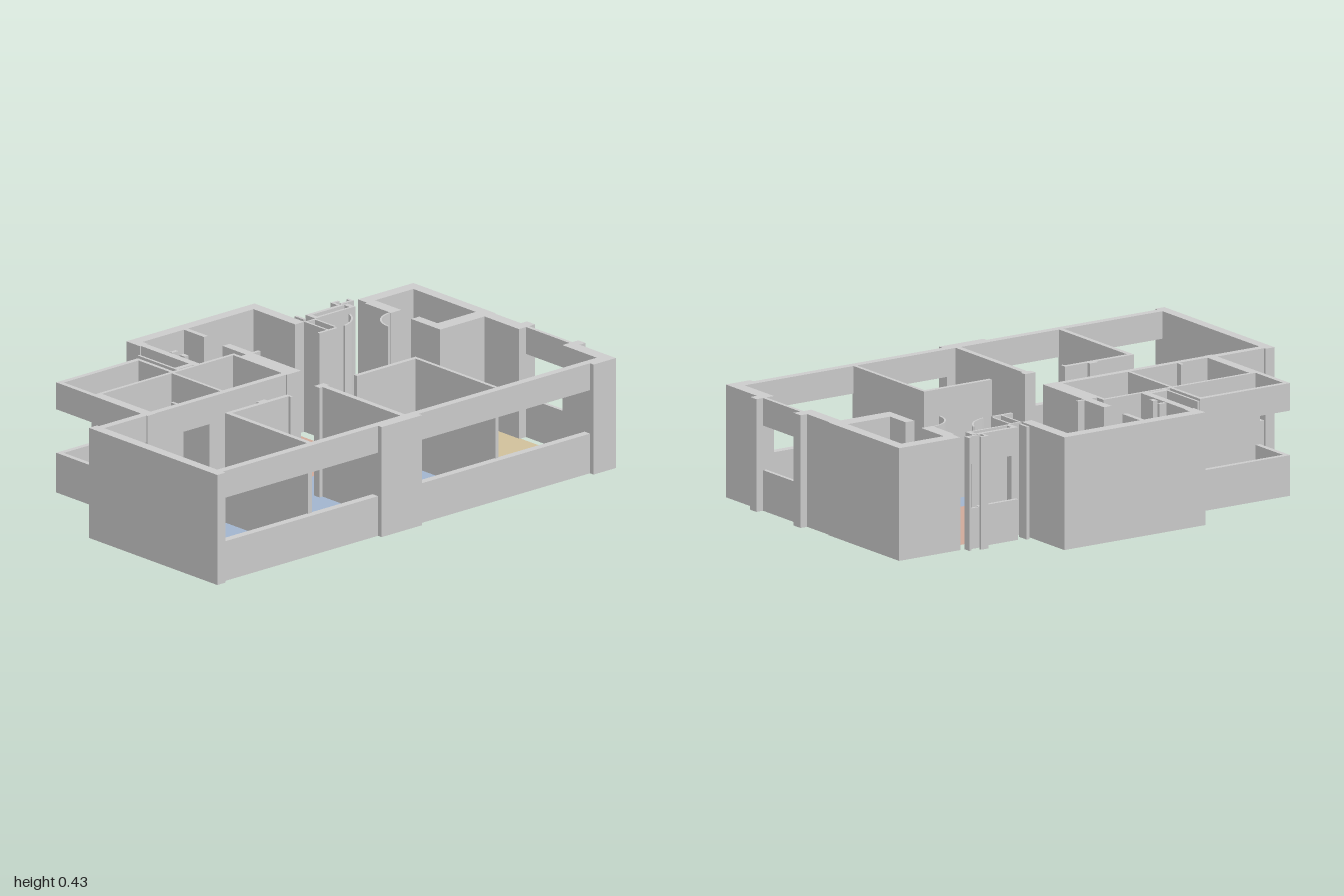
import * as THREE from 'three';

const H = 0.43, SILL = 0.155, HEAD = 0.325;
const grey = new THREE.MeshStandardMaterial({ color: 0xcccccc });

export function createModel() {
  const model = new THREE.Group();
  const group = (name) => {
    const g = new THREE.Group();
    g.name = name;
    model.add(g);
    return g;
  };

  // Box between two plan corners and two heights
  const block = (parent, name, [x0, x1, z0, z1], y0 = 0, y1 = H) => {
    const mesh = new THREE.Mesh(new THREE.BoxGeometry(x1 - x0, y1 - y0, z1 - z0), grey);
    mesh.position.set((x0 + x1) / 2, (y0 + y1) / 2, (z0 + z1) / 2);
    mesh.name = name;
    parent.add(mesh);
  };
  // Wall stretch with an open window: parapet below, lintel above
  const windowWall = (parent, plan) => {
    block(parent, 'windowParapet', plan, 0, SILL);
    block(parent, 'windowLintel', plan, HEAD, H);
  };

  // Outer walls, solid stretches
  const outer = group('outerWalls');
  [
    [-1, -0.96, -0.045, 0.665],      // left gable
    [-0.19, 0.01, 0.62, 0.67],       // front pier
    [0.86, 0.97, 0.62, 0.67],        // front right corner
    [0.92, 0.97, 0.43, 0.67],
    [0.92, 0.97, 0, 0.19],
    [0.95, 1, 0.145, 0.19],          // right pilasters
    [0.95, 1, 0.43, 0.47],
    [-0.75, -0.71, -0.31, 0],        // bathroom side
    [-0.25, 0.385, -0.675, -0.63],   // rear block
    [0.34, 0.385, -0.675, -0.4],
    [-0.25, -0.21, -0.63, -0.6],
  ].forEach((p) => block(outer, 'outerWall', p));

  // Outer walls, window stretches
  const windows = group('windowWalls');
  [
    [-0.96, -0.19, 0.62, 0.65],      // front left
    [0.01, 0.86, 0.62, 0.65],        // front right
    [0.955, 0.97, 0.19, 0.43],       // right side
    [-0.96, -0.75, -0.035, -0.005],  // rear of left bedroom
    [-0.245, -0.215, -0.6, -0.34],   // kitchen
  ].forEach((p) => windowWall(windows, p));

  // Balcony with open bands on three sides
  const balcony = group('balcony');
  [
    [-0.75, -0.345, -0.505, -0.485],
    [-0.75, -0.73, -0.485, -0.31],
    [-0.36, -0.345, -0.485, -0.31],
  ].forEach((p) => windowWall(balcony, p));

  // Closed shaft room at the rear right, with a doorway to the hall
  const shaft = group('shaftRoom');
  [
    [0.7, 0.975, -0.455, -0.405],
    [0.93, 0.975, -0.405, -0.06],
    [0.7, 0.975, -0.06, 0],
    [0.7, 0.74, -0.405, -0.26],
    [0.7, 0.74, -0.16, -0.06],
  ].forEach((p) => block(shaft, 'shaftWall', p));

  // Inner partitions
  const inner = group('innerWalls');
  [
    [-0.515, -0.495, 0.165, 0.625],  // bedroom dividers
    [-0.053, -0.03, 0.16, 0.625],
    [0.415, 0.43, 0.165, 0.625],
    [-0.515, -0.205, 0.165, 0.183],  // corridor side
    [-0.215, -0.205, 0.165, 0.195],
    [-0.345, -0.305, 0.15, 0.17],
    [-0.068, -0.02, 0.16, 0.19],
    [0.125, 0.43, 0.165, 0.183],
    [-0.71, -0.055, -0.31, -0.296],  // bathroom block
    [-0.365, -0.352, -0.31, -0.01],
    [-0.75, -0.57, -0.028, -0.003],
    [-0.585, -0.573, -0.055, -0.003],
    [-0.44, -0.33, -0.028, -0.003],
    [-0.23, -0.04, -0.028, -0.003],
    [-0.06, -0.045, -0.31, 0],
    [-0.045, 0.01, -0.27, 0],
    [-0.005, 0.015, -0.63, -0.52],   // kitchen divider
    [-0.02, 0.015, -0.4, -0.27],
    [0.01, 0.045, -0.275, -0.262],
    [-0.245, -0.215, -0.34, -0.3],
    [-0.325, -0.315, -0.53, -0.31],  // service duct screen
    [-0.315, -0.225, -0.335, -0.315],
    [-0.21, -0.18, -0.48, -0.465],
    [-0.205, -0.185, -0.43, -0.405],
  ].forEach((p) => block(inner, 'partition', p));
  // Heads over the bathroom doors
  [[-0.57, -0.44], [-0.33, -0.23]].forEach(([a, b]) =>
    block(inner, 'doorHead', [a, b, -0.028, -0.003], HEAD, H));

  // Entrance screens, posts and ducts
  const entry = group('entrance');
  [
    [0.385, 0.394, -0.4, -0.27],
    [0.43, 0.439, -0.4, -0.285],
    [0.385, 0.439, -0.4, -0.392],
    [0.34, 0.43, -0.278, -0.266],
    [0.44, 0.46, -0.44, -0.4],
    [0.4, 0.412, -0.47, -0.42],
    [0.45, 0.64, -0.412, -0.402],
    [0.62, 0.64, -0.445, -0.405],
    [0.69, 0.702, -0.405, -0.26],
    [0.67, 0.68, -0.485, -0.455],
    [0.6, 0.635, -0.495, -0.485],
  ].forEach((p) => block(entry, 'entrancePost', p));
  windowWall(entry, [0.44, 0.62, -0.455, -0.44]);
  windowWall(entry, [0.6, 0.61, -0.49, -0.45]);
  windowWall(entry, [0.62, 0.68, -0.466, -0.455]);

  // Curved door sweeps, thin arcs extruded to full height (angles in plan, z downward)
  const sweep = (cx, cz, r, a0, a1) => {
    const s = new THREE.Shape();
    s.absarc(cx, cz, r, a0, a1, false);
    s.absarc(cx, cz, r - 0.007, a1, a0, true);
    const geo = new THREE.ExtrudeGeometry(s, { depth: H, bevelEnabled: false, curveSegments: 8 });
    geo.rotateX(Math.PI / 2).translate(0, H, 0);
    const mesh = new THREE.Mesh(geo, grey);
    mesh.name = 'doorSweep';
    entry.add(mesh);
  };
  sweep(0.445, -0.4, 0.135, 0.35, 1.4);
  sweep(0.695, -0.155, 0.115, Math.PI, Math.PI * 1.5);

  // Coloured floors, one outline per zone
  const floors = group('floors');
  const floor = (name, color, pts) => {
    const shape = new THREE.Shape(pts.map(([x, z]) => new THREE.Vector2(x, -z)));
    const mesh = new THREE.Mesh(
      new THREE.ShapeGeometry(shape).rotateX(-Math.PI / 2),
      new THREE.MeshStandardMaterial({ color, side: THREE.DoubleSide }));
    mesh.position.y = 0.002;
    mesh.name = name;
    floors.add(mesh);
  };
  const rect = (x0, x1, z0, z1) => [[x0, z0], [x0, z1], [x1, z1], [x1, z0]];
  floor('bedroomFloor', 0xa1b4cd, [
    [-0.96, -0.003], [-0.96, 0.625], [0.42, 0.625], [0.42, 0.165], [0.365, 0.165],
    [0.365, 0.055], [0.18, 0.055], [0.125, -0.003]]);
  floor('livingFloor', 0xcfc09a, [
    [0.365, 0.055], [0.365, 0.165], [0.42, 0.165], [0.42, 0.625], [0.925, 0.625],
    [0.925, 0], [0.7, 0], [0.7, -0.145], [0.57, -0.145]]);
  floor('hallFloor', 0xcfa999, [
    [0.01, -0.63], [0.01, -0.003], [0.125, -0.003], [0.18, 0.055], [0.365, 0.055],
    [0.57, -0.145], [0.7, -0.145], [0.7, -0.4], [0.445, -0.4], [0.445, -0.27],
    [0.34, -0.27], [0.34, -0.63]]);
  floor('bathFloorLeft', 0x98c0c0, rect(-0.71, -0.365, -0.296, -0.028));
  floor('bathFloorRight', 0x98c0c0, rect(-0.352, -0.065, -0.296, -0.028));
  floor('balconyFloor', 0xa4a4a4, rect(-0.735, -0.358, -0.49, -0.31));
  floor('kitchenFloor', 0xb2b2aa, [
    [-0.21, -0.63], [-0.21, -0.31], [0, -0.31], [0, -0.49], [-0.08, -0.515], [0, -0.54], [0, -0.63]]);
  floor('shaftFloor', 0xc4beb6, rect(0.74, 0.93, -0.405, -0.06));

  return model;
}
